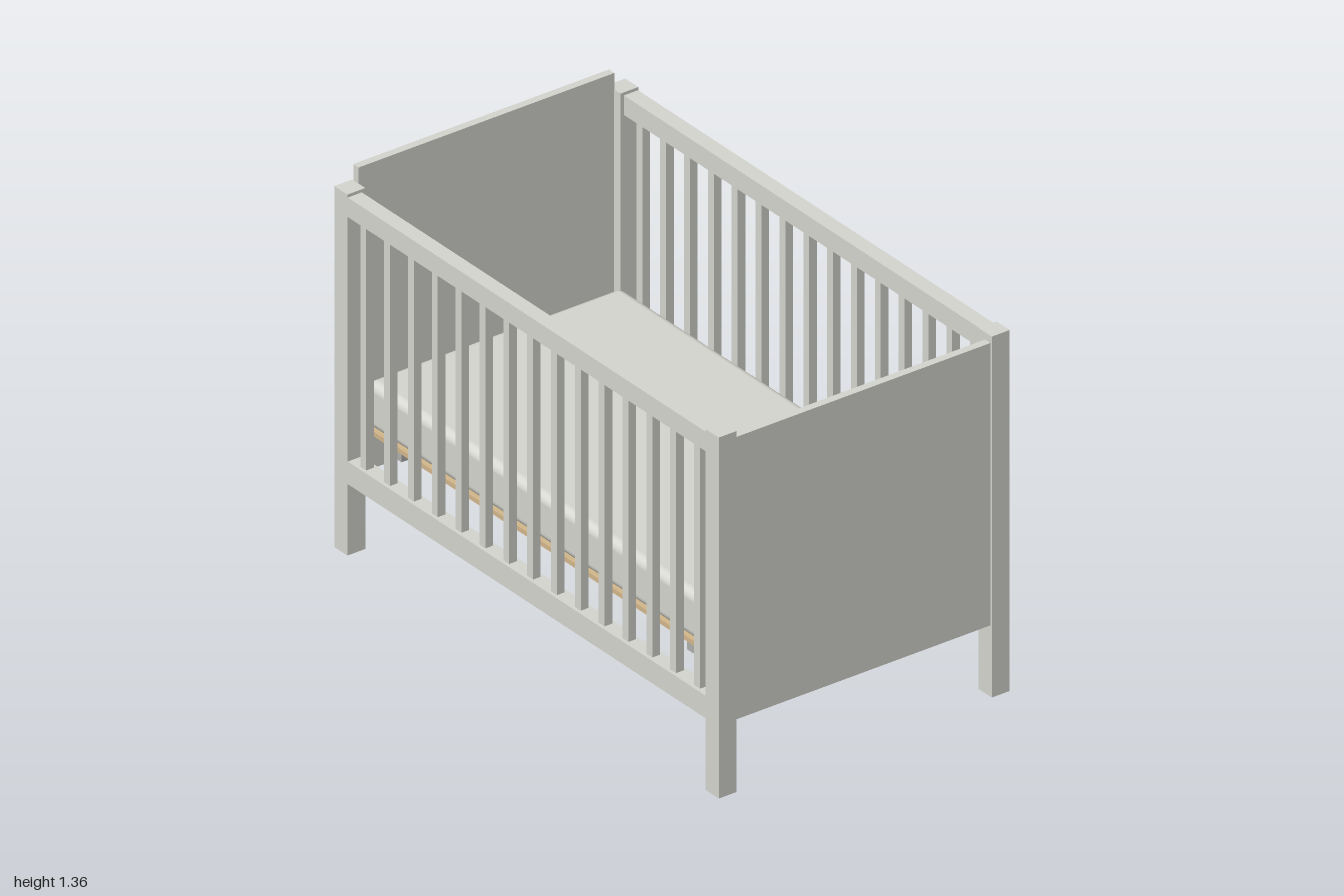
import * as THREE from 'three';
import { RoundedBoxGeometry } from 'three/addons/geometries/RoundedBoxGeometry.js';

const paint = new THREE.MeshStandardMaterial({ name: 'pale grey paint', color: 0xd6d6d0 });
const wood = new THREE.MeshStandardMaterial({ name: 'plywood', color: 0xd4b88c });
const steel = new THREE.MeshStandardMaterial({ name: 'grey steel', color: 0xb0b0ae });

export function createModel() {
  const crib = new THREE.Group();
  crib.name = 'crib';

  // Box given by its lower and upper limits on each axis
  const box = (name, material, [x0, x1], [y0, y1], [z0, z1]) => {
    const mesh = new THREE.Mesh(new THREE.BoxGeometry(x1 - x0, y1 - y0, z1 - z0), material);
    mesh.position.set((x0 + x1) / 2, (y0 + y1) / 2, (z0 + z1) / 2);
    mesh.name = name;
    crib.add(mesh);
  };
  const span = (centre, size) => [centre - size / 2, centre + size / 2];

  for (const side of [-1, 1]) {
    // Corner posts
    for (const end of [-1, 1]) {
      box('cornerPost', paint, span(end * 0.966, 0.068), [0, 1.296], span(side * 0.534, 0.07));
    }

    // Long rails, front and back
    const z = side * 0.54;
    box('topRail', paint, [-0.932, 0.932], [1.215, 1.285], span(z, 0.055));
    box('bottomRail', paint, [-0.932, 0.932], [0.256, 0.337], span(z, 0.055));

    // Upright slats between the rails
    for (let i = 0; i < 15; i++) {
      box('slat', paint, span((i - 7) * 0.124, 0.031), [0.337, 1.215], span(z, 0.03));
    }

    // Solid end panels, one standing higher than the other
    box('endPanel', paint, span(side * 0.979, 0.028), [0.256, side < 0 ? 1.355 : 1.27], [-0.5, 0.5]);

    // Crossbars carrying the base
    box('crossbar', steel, span(side * 0.766, 0.048), [0.397, 0.425], [-0.5, 0.5]);
  }

  // Mattress on its plywood base
  box('mattressBase', wood, [-0.932, 0.932], [0.425, 0.442], [-0.5, 0.5]);
  const mattress = new THREE.Mesh(new RoundedBoxGeometry(1.86, 0.168, 1.0, 5, 0.032), paint);
  mattress.position.y = 0.526;
  mattress.name = 'mattress';
  crib.add(mattress);

  return crib;
}
